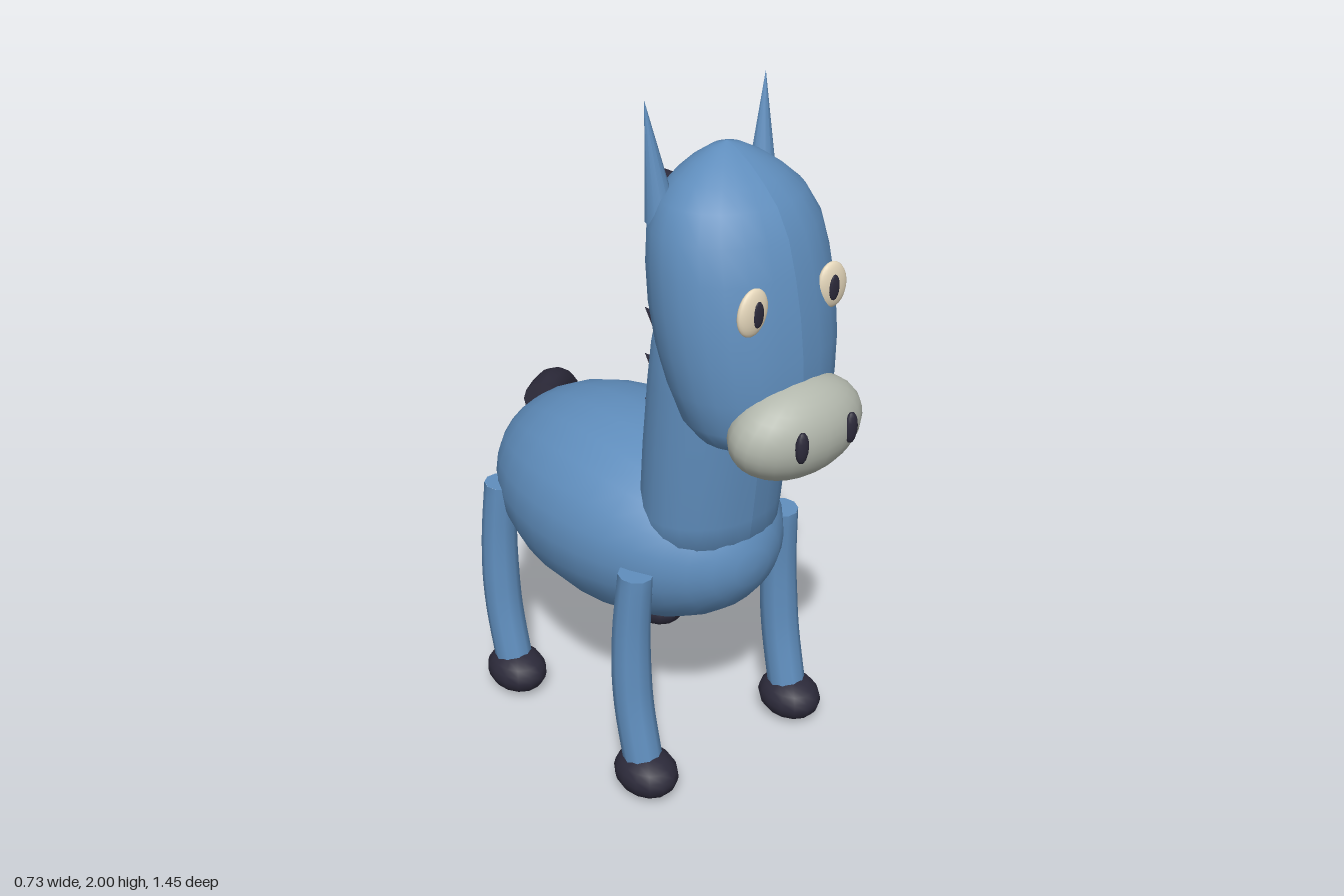
import * as THREE from 'three';

const mat = (name, color, side = THREE.FrontSide) => {
  const m = new THREE.MeshStandardMaterial({ color, side });
  m.name = name;
  return m;
};

export function createModel() {
  const root = new THREE.Group();
  root.name = 'horse';
  const blue = mat('coat blue', 0x5f8dbc);
  const dark = mat('hoof and mane dark', 0x2c2a3a);
  const grey = mat('muzzle grey', 0xb3b8ad);
  const cream = mat('eye cream', 0xe6d8bc);

  const add = (name, geometry, material, parent = root) => {
    const mesh = new THREE.Mesh(geometry, material);
    mesh.name = name;
    parent.add(mesh);
    return mesh;
  };

  const ellipsoid = (name, material, pos, radii, seg = 20) => {
    const mesh = add(name, new THREE.SphereGeometry(1, seg, Math.round(seg * 0.7)), material);
    mesh.position.set(...pos);
    mesh.scale.set(...radii);
    return mesh;
  };

  // Lathe flattened in z, with its centre line leaning along z
  const leaningLathe = (name, profile, depth, centreZ) => {
    const g = new THREE.LatheGeometry(profile.map(p => new THREE.Vector2(...p)), 24);
    const p = g.attributes.position;
    for (let i = 0; i < p.count; i++) p.setZ(i, p.getZ(i) * depth + centreZ(p.getY(i)));
    g.computeVertexNormals();
    return add(name, g, blue);
  };

  // Tube whose radius varies along its path, closed at the start
  const taperedTube = (name, points, radius, material, sides = 10) => {
    const group = new THREE.Group();
    group.name = name;
    root.add(group);
    const curve = new THREE.CatmullRomCurve3(points.map(p => new THREE.Vector3(...p)));
    const n = 16;
    const g = new THREE.TubeGeometry(curve, n, 1, sides);
    const p = g.attributes.position;
    const v = new THREE.Vector3();
    for (let i = 0; i < p.count; i++) {
      const t = Math.floor(i / (sides + 1)) / n;
      const c = curve.getPointAt(t);
      v.fromBufferAttribute(p, i).sub(c).multiplyScalar(radius(t)).add(c);
      p.setXYZ(i, v.x, v.y, v.z);
    }
    g.computeVertexNormals();
    add(name + 'Tube', g, material, group);
    const cap = add(name + 'Cap', new THREE.CircleGeometry(radius(0), sides), material, group);
    const start = curve.getPointAt(0);
    cap.position.copy(start);
    cap.lookAt(start.clone().sub(curve.getTangentAt(0)));
  };

  // Cone from a base centre to a tip
  const spike = (name, base, tip, radius, material, sides) => {
    const a = new THREE.Vector3(...base), b = new THREE.Vector3(...tip);
    const h = a.distanceTo(b);
    const mesh = add(name, new THREE.ConeGeometry(radius, h, sides).translate(0, h / 2, 0), material);
    mesh.position.copy(a);
    mesh.quaternion.setFromUnitVectors(new THREE.Vector3(0, 1, 0), b.sub(a).normalize());
    return mesh;
  };

  // Body, with the sphere's poles at chest and rump
  const body = ellipsoid('body', blue, [0, 0.7, -0.04], [0.345, 0.51, 0.3], 24);
  body.rotation.x = Math.PI / 2;

  // Neck and head
  leaningLathe('neck', [[0, 0.7], [0.205, 0.7], [0.213, 0.85], [0.216, 1.05], [0.214, 1.25],
    [0.21, 1.36], [0.19, 1.42], [0, 1.46]], 0.79, y => 0.3 + (y - 1) * 0.085);
  leaningLathe('head', [[0, 1.11], [0.1, 1.12], [0.17, 1.145], [0.21, 1.2], [0.235, 1.29], [0.251, 1.39],
    [0.257, 1.5], [0.251, 1.6], [0.236, 1.69], [0.2, 1.76], [0.15, 1.805], [0.1, 1.84], [0.045, 1.868],
    [0, 1.88]], 0.83, y => 0.39 - (y - 1.5) * 0.19);

  // Muzzle
  const muzzle = ellipsoid('muzzle', grey, [0, 1.2, 0.601], [0.205, 0.135, 0.124], 24);
  muzzle.rotation.x = 0.2;

  // Face details and ears, mirrored
  for (const s of [1, -1]) {
    const side = s > 0 ? 'left' : 'right';
    const eye = ellipsoid(side + 'Eye', cream, [s * 0.134, 1.542, 0.572], [0.048, 0.063, 0.018]);
    eye.rotation.z = s * 0.15;
    ellipsoid(side + 'Pupil', dark, [s * 0.128, 1.54, 0.587], [0.018, 0.035, 0.006], 12);
    ellipsoid(side + 'Nostril', dark, [s * 0.085, 1.212, 0.713], [0.02, 0.044, 0.014], 12);
    spike(side + 'Ear', [s * 0.168, 1.7, 0.27], [s * 0.198, 2, 0.24], 0.043, blue, 12);
  }

  // Mane spikes down the back of the neck
  for (let i = 0; i < 6; i++) {
    const y = 1.735 - i * 0.14;
    spike('maneSpike' + (i + 1), [0, y - 0.057, 0.16], [0, y, 0], 0.06, dark, 14);
  }

  // Legs and hooves
  for (const [end, z] of [['front', 0], ['back', -0.63]]) {
    for (const s of [1, -1]) {
      const name = end + (s > 0 ? 'Left' : 'Right');
      taperedTube(name + 'Leg', [[s * 0.27, 0.705, z + 0.29], [s * 0.278, 0.5, z + 0.28],
        [s * 0.282, 0.3, z + 0.293], [s * 0.28, 0.08, z + 0.34]], t => 0.049 + 0.007 * Math.min(1, t * 2), blue);
      ellipsoid(name + 'Hoof', dark, [s * 0.28, 0.071, z + 0.348], [0.085, 0.066, 0.103], 14);
    }
  }

  // Tail, sweeping to the left and hanging to a point
  taperedTube('tail', [[0, 0.822, -0.5], [0.1, 0.806, -0.58], [0.19, 0.735, -0.65], [0.212, 0.6, -0.67],
    [0.2, 0.35, -0.642]], t => 0.056 * (t < 0.5 ? 1 : Math.max(0.01, 1 - (t - 0.5) * 2)), dark, 12);

  return root;
}
